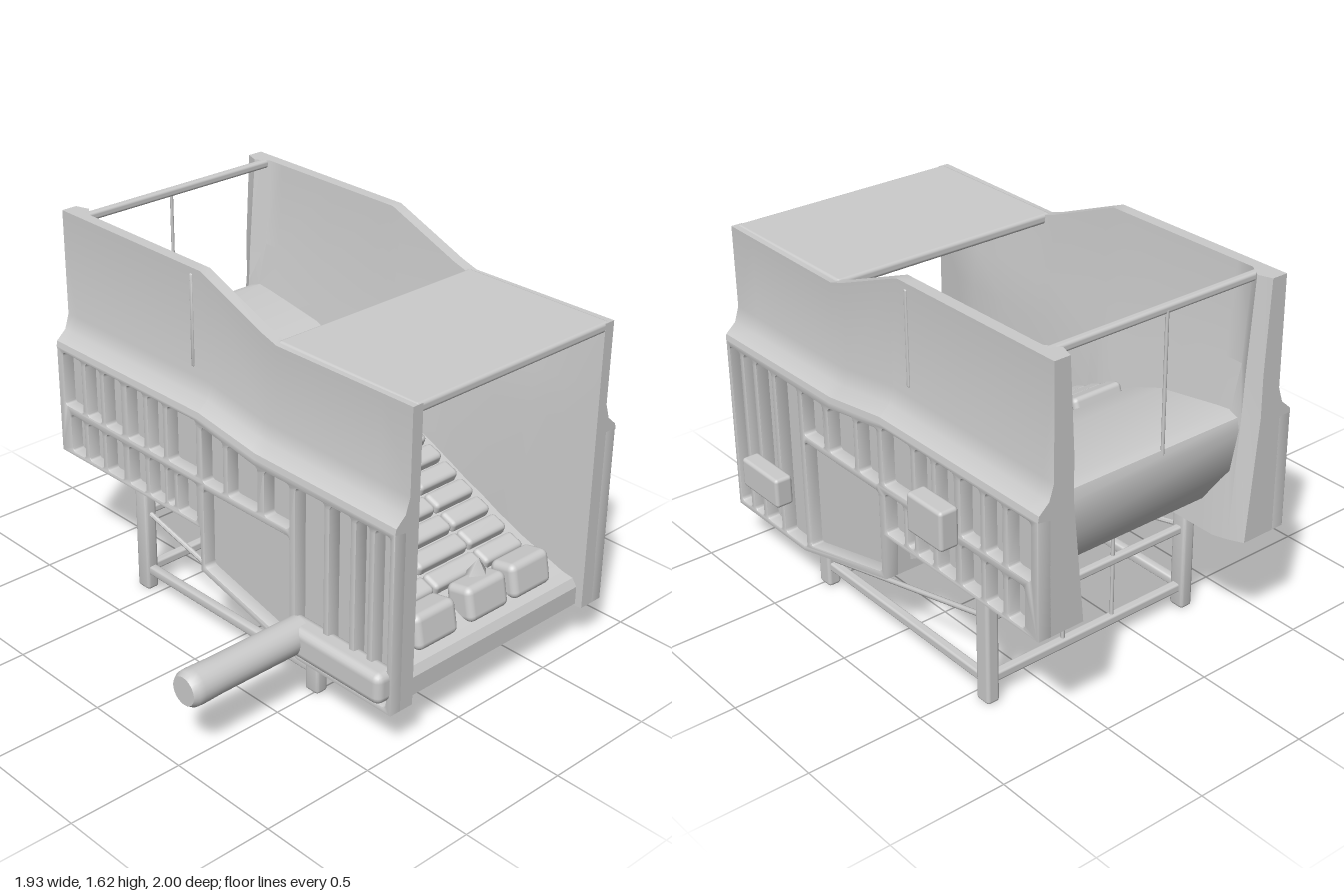
import * as THREE from 'three';
import { toCreasedNormals } from 'three/addons/utils/BufferGeometryUtils.js';
import { RoundedBoxGeometry } from 'three/addons/geometries/RoundedBoxGeometry.js';

const MID = 0.225; // x of the hopper's mirror plane
const mat = new THREE.MeshStandardMaterial({ color: 0xcccccc });

export function createModel() {
  const model = new THREE.Group();

  const add = (name, geo) => {
    const m = new THREE.Mesh(geo, mat);
    m.name = name;
    model.add(m);
    return m;
  };
  // mirror a geometry across the hopper's middle, keeping faces outward
  const mirrored = (geo) => {
    const g = geo.index ? geo.toNonIndexed() : geo.clone();
    const p = g.attributes.position;
    for (let i = 0; i < p.count; i += 3) {
      const v = [0, 2, 1].map((k) => [2 * MID - p.getX(i + k), p.getY(i + k), p.getZ(i + k)]);
      v.forEach((q, k) => p.setXYZ(i + k, ...q));
    }
    g.computeVertexNormals();
    return toCreasedNormals(g, 0.6);
  };
  const addPair = (name, geo) => {
    add('left' + name, geo);
    add('right' + name, mirrored(geo));
  };
  // rounded box given by its extents
  const box = (x0, x1, y0, y1, z0, z1, r = 0.01) =>
    new RoundedBoxGeometry(x1 - x0, y1 - y0, z1 - z0, 2, r)
      .translate((x0 + x1) / 2, (y0 + y1) / 2, (z0 + z1) / 2);
  const rod = (a, b, r, seg = 8) => {
    const p = new THREE.Vector3(...a), q = new THREE.Vector3(...b);
    const d = q.clone().sub(p);
    const g = new THREE.CylinderGeometry(r, r, d.length(), seg);
    g.applyQuaternion(new THREE.Quaternion().setFromUnitVectors(new THREE.Vector3(0, 1, 0), d.normalize()));
    return g.translate(...p.add(q).multiplyScalar(0.5).toArray());
  };
  // piecewise linear curve through [z, value] points with falling z
  const lerpAt = (pts) => (z) => {
    for (let i = 1; i < pts.length; i++) {
      const [a, va] = pts[i - 1], [b, vb] = pts[i];
      if (z >= b) return va + ((vb - va) * (a - z)) / (a - b);
    }
    return pts[pts.length - 1][1];
  };
  // extrude a side profile of [z, y] points along x
  const sideShape = (pts) => new THREE.Shape(pts.map(([z, y]) => new THREE.Vector2(-z, y)));
  const sideExtrude = (shape, x0, x1, bevel = 0) =>
    new THREE.ExtrudeGeometry(shape, {
      depth: x1 - x0 - 2 * bevel, bevelEnabled: bevel > 0, bevelThickness: bevel,
      bevelSize: bevel, bevelOffset: -bevel, bevelSegments: 2, curveSegments: 4,
    }).rotateY(Math.PI / 2).translate(x0 + bevel, 0, 0);

  // side walls: one cross-section swept from front to back, widening inward at the rear edge
  const top = lerpAt([[1, 1.455], [0.3, 1.45], [0.22, 1.475], [-0.13, 1.615], [-1, 1.62]]);
  const rim = lerpAt([[1, 0.98], [0.25, 0.99], [-0.08, 1.04], [-1, 1.04]]);
  const bottom = lerpAt([[1, 0.19], [0.5, 0.19], [-0.08, 0.34], [-0.081, 0.54], [-1, 0.54]]);
  const inner = lerpAt([[1, 0.72], [0.7, 0.67], [-0.8, 0.65], [-0.94, 0.64], [-1, 0.68]]);
  const innerBottom = lerpAt([[1, 0.72], [0.7, 0.67], [0.3, 0.64], [-0.08, 0.61], [-0.2, 0.58], [-0.9, 0.58], [-1, 0.63]]);
  const innerTop = lerpAt([[1, 0.72], [-0.88, 0.72], [-0.94, 0.68], [-1, 0.7]]);
  const section = (z) => {
    const b = bottom(z), r = rim(z), t = top(z), i = inner(z), k = innerTop(z);
    return [[innerBottom(z), b], [0.785, b], [0.785, r - 0.02], [0.84, r - 0.01], [0.835, r + 0.015], [0.79, r + 0.055],
      [0.769, r + 0.12], [0.77, t], [k, t], [Math.max(i, k - 0.03), r + 0.2], [i, r + 0.02]];
  };
  const stations = [1, 0.85, 0.7, 0.5, 0.3, 0.25, 0.22, -0.08, -0.081, -0.13, -0.2, -0.5, -0.8, -0.88, -0.94, -1];
  const verts = [], idx = [], n = 11;
  for (const z of stations) for (const [x, y] of section(z)) verts.push(x, y, z);
  for (let s = 0; s < stations.length - 1; s++)
    for (let j = 0; j < n; j++) {
      const a = s * n + j, b = s * n + ((j + 1) % n), c = b + n, d = a + n;
      idx.push(a, c, b, a, d, c);
    }
  const last = (stations.length - 1) * n;
  const cap = (z) => THREE.ShapeUtils.triangulateShape(section(z).map((p) => new THREE.Vector2(...p)), []);
  for (const [a, b, c] of cap(1)) idx.push(a, b, c);
  for (const [a, b, c] of cap(-1)) idx.push(last + a, last + c, last + b);
  const wall = new THREE.BufferGeometry();
  wall.setAttribute('position', new THREE.Float32BufferAttribute(verts, 3));
  wall.setIndex(idx);
  addPair('Wall', toCreasedNormals(wall, 0.6));
  addPair('WallSeam', box(0.76, 0.776, 1.2, 1.59, -0.19, -0.175, 0.005));

  // ribbed outer plates: a plate with rounded window recesses
  const plate = sideShape([[1, 0.19], [0.5, 0.19], [-0.08, 0.34], [-0.085, 0.54], [-1, 0.54],
    [-1, 1.035], [-0.08, 1.035], [0.25, 0.985], [1, 0.975]]);
  const recess = (zf, zb, y0, y1, y0b = y0, y1b = y1) => {
    const c = [[-zf, y0], [-zb, y0b], [-zb, y1b], [-zf, y1]].map((p) => new THREE.Vector2(...p));
    const h = new THREE.Path(), r = 0.018;
    c.forEach((p, i) => {
      const from = p.clone().add(c[(i + 3) % 4].clone().sub(p).setLength(r));
      const to = p.clone().add(c[(i + 1) % 4].clone().sub(p).setLength(r));
      if (i) h.lineTo(from.x, from.y); else h.moveTo(from.x, from.y);
      h.quadraticCurveTo(p.x, p.y, to.x, to.y);
    });
    h.closePath();
    plate.holes.push(h);
  };
  for (const [f, b] of [[0.975, 0.9], [0.87, 0.805], [0.775, 0.665], [0.635, 0.48]]) recess(f, b, 0.215, 0.95);
  recess(0.445, 0.305, 0.755, 0.95);
  recess(0.265, 0.095, 0.755, 0.95, 0.755, 0.98);
  recess(0.065, -0.06, 0.755, 0.98, 0.755, 1.0);
  recess(0.445, -0.055, 0.24, 0.725, 0.365, 0.725);
  for (const [f, b] of [[-0.3, -0.395], [-0.425, -0.53], [-0.57, -0.68], [-0.71, -0.805], [-0.835, -0.96]]) {
    recess(f, b, 0.77, 1.015);
    recess(f, Math.max(b, -0.925), 0.56, 0.735);
  }
  recess(-0.095, -0.27, 0.77, 1.015);
  recess(-0.1, -0.215, 0.56, 0.735);
  recess(-0.24, -0.28, 0.57, 0.735);
  addPair('RibbedPlate', toCreasedNormals(sideExtrude(plate, 0.775, 0.84, 0.006), 0.6));

  // sloping floor with front lip and rounded rear lip
  const floor = sideShape([[0.97, 0.2], [0.5, 0.195], [-0.08, 0.385], [-0.32, 0.53], [-0.8, 0.66], [-0.91, 0.82],
    [-0.935, 1.0], [-0.92, 1.045], [-0.87, 1.06], [-0.5, 1.0], [-0.36, 0.95], [0.76, 0.4], [0.9, 0.33],
    [0.95, 0.315], [0.97, 0.28]]);
  add('floor', toCreasedNormals(sideExtrude(floor, -0.27, 0.72), 0.5));

  // rows of slats climbing the floor, and three blocks at their foot
  const columns = [[-0.155, 0.09], [0.095, 0.38], [0.385, 0.61]];
  for (let i = 0; i < 12; i++)
    for (const [x0, x1] of columns) {
      const z = -0.29 + i * 0.092;
      const slat = add('slat', new RoundedBoxGeometry(x1 - x0, 0.06, 0.086, 2, 0.02));
      slat.position.set((x0 + x1) / 2, 0.932 - i * 0.0455, z);
      slat.rotation.x = 0.35;
    }
  for (const x of [-0.045, 0.245, 0.5]) {
    const block = add('footBlock', new RoundedBoxGeometry(0.225, 0.15, 0.13, 3, 0.03));
    block.position.set(x, 0.39, 0.85);
    block.rotation.x = -0.2;
  }
  const peak = add('blockPeak', new THREE.ConeGeometry(0.07, 0.1, 4));
  peak.position.set(0.275, 0.48, 0.82);

  // top cover and rear top bar with its thin upright
  add('topCover', box(-0.3, 0.75, 1.415, 1.458, 0.28, 1, 0.015));
  add('rearTopBar', box(-0.28, 0.73, 1.585, 1.62, -0.925, -0.89, 0.012));
  add('rearUpright', rod([0.19, 0.95, -0.92], [0.19, 1.6, -0.92], 0.007));

  // stand: legs, lower rails, diagonal braces and rear uprights
  addPair('FrontLeg', box(0.7, 0.76, 0, 0.23, 0.45, 0.525, 0.015));
  addPair('RearLeg', box(0.7, 0.76, 0, 0.58, -0.61, -0.535, 0.015));
  addPair('LowerRail', box(0.71, 0.75, 0.075, 0.115, -0.57, 0.49));
  addPair('Brace', rod([0.73, 0.13, 0.44], [0.73, 0.375, -0.56], 0.011));
  add('frontCrossRail', box(-0.28, 0.73, 0.075, 0.115, 0.47, 0.51));
  add('rearCrossRail', box(-0.28, 0.73, 0.075, 0.115, -0.59, -0.55));
  add('rearUpperCrossRail', box(-0.28, 0.73, 0.355, 0.39, -0.59, -0.555));
  for (const x of [0.1, 0.355]) add('standUpright', rod([x, 0.09, -0.57], [x, 0.63, -0.57], 0.008));

  // side arm with its mounting box
  add('armMount', box(-0.45, -0.34, 0.25, 0.385, 0.45, 0.995, 0.035));
  const armProfile = [[0, 0], [0.06, 0], [0.073, 0.02], [0.075, 0.05], [0.072, 0.15], [0.072, 0.58], [0, 0.58]];
  add('sideArm', toCreasedNormals(new THREE.LatheGeometry(armProfile.map((p) => new THREE.Vector2(...p)), 24)
    .rotateZ(-Math.PI / 2).translate(-0.97, 0.325, 0.505), 0.7));

  // control boxes on the left side
  add('rearControlBox', box(0.88, 0.965, 0.77, 0.935, -0.615, -0.41, 0.015));
  add('rearControlBracket', box(0.8, 0.9, 0.76, 0.79, -0.43, -0.405, 0.008));
  add('frontControlBox', box(0.885, 0.965, 0.445, 0.575, 0.48, 0.735, 0.015));

  return model;
}
